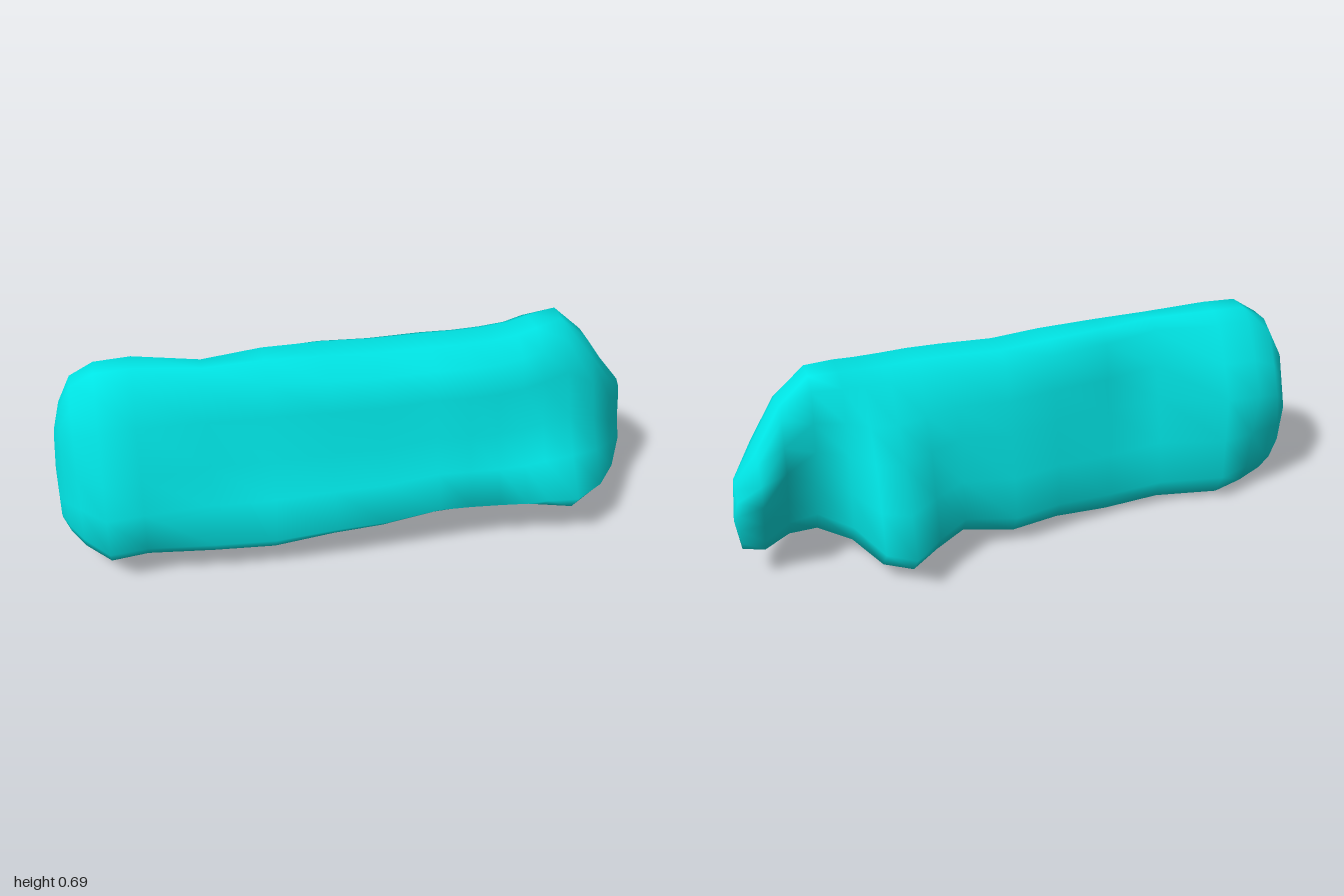
import * as THREE from 'three';

// Stations along x: x, bottom y, top y, front z at top, front z at widest,
// back z at top, back z at middle, back z near the bottom
const stations = [
  -0.99, 0.12, 0.43, 0.08, 0.15, 0.0, -0.04, -0.02,
  -0.965, 0.08, 0.53, 0.15, 0.2, -0.02, -0.07, -0.04,
  -0.92, 0.045, 0.63, 0.18, 0.27, -0.01, -0.11, -0.06,
  -0.84, 0.01, 0.68, 0.2, 0.345, 0.0, -0.13, -0.08,
  -0.72, 0.01, 0.685, 0.2, 0.33, -0.01, -0.13, -0.13,
  -0.5, 0.01, 0.672, 0.19, 0.345, 0.04, -0.02, -0.09,
  -0.3, 0.0, 0.675, 0.2, 0.345, -0.02, -0.06, -0.1,
  -0.1, 0.025, 0.67, 0.21, 0.345, -0.05, -0.09, -0.14,
  0.07, 0.025, 0.66, 0.2, 0.33, -0.06, -0.12, -0.18,
  0.25, 0.06, 0.665, 0.2, 0.33, -0.06, -0.13, -0.18,
  0.36, 0.05, 0.665, 0.2, 0.32, -0.06, -0.18, -0.26,
  0.46, 0.045, 0.665, 0.19, 0.32, -0.07, -0.23, -0.355,
  0.55, 0.05, 0.67, 0.17, 0.335, -0.08, -0.22, -0.3,
  0.62, 0.06, 0.68, 0.15, 0.345, -0.1, -0.14, -0.12,
  0.72, 0.06, 0.69, 0.1, 0.355, -0.11, -0.1, 0.0,
  0.82, 0.085, 0.6, 0.09, 0.285, -0.11, -0.13, -0.04,
  0.91, 0.09, 0.47, 0.04, 0.15, -0.15, -0.19, -0.11,
  0.985, 0.13, 0.375, -0.05, 0.0, -0.12, -0.15, -0.13,
];

// One cross-section, from the underside up the front, over the top and down the back
function section(x, yb, yt, ft, fw, bt, bm, bl) {
  const mix = THREE.MathUtils.lerp;
  // The front is hollow above its flared foot, except for a swelling near one end
  const swell = Math.exp(-(((x + 0.78) / 0.2) ** 2));
  return [
    [0, mix(bl, fw, 0.54)], [0.07, mix(bl, fw, 0.83)], [0.18, fw],
    [0.36, mix(fw, ft, 0.38 - 0.32 * swell)],
    [0.55, mix(fw, ft, 0.65 - 0.53 * swell)],
    [0.77, mix(fw, ft, 0.83 - 0.18 * swell)], [0.93, ft],
    [1, mix(ft, bt, 0.35)], [1, mix(ft, bt, 0.75)], [0.95, bt],
    [0.77, mix(bt, bm, 0.55)], [0.6, bm], [0.36, mix(bm, bl, 0.55)],
    [0.14, bl], [0.02, mix(bl, fw, 0.1)], [0, mix(bl, fw, 0.28)],
  ].map(([h, z]) => [x, mix(yb, yt, h), z]);
}

export function createModel() {
  const group = new THREE.Group();
  const pos = [], idx = [];
  const rings = stations.length / 8, n = 16;

  for (let i = 0; i < rings; i++) {
    pos.push(...section(...stations.slice(i * 8, i * 8 + 8)).flat());
  }

  // Skin between neighbouring sections
  for (let i = 0; i < rings - 1; i++) {
    for (let j = 0; j < n; j++) {
      const k = (j + 1) % n;
      const a = i * n + j, b = a + n, c = i * n + k, d = c + n;
      idx.push(a, b, c, b, d, c);
    }
  }

  // Rounded end caps
  const left = rings * n, right = left + 1, last = (rings - 1) * n;
  pos.push(-1, 0.29, 0.04, 1, 0.23, -0.09);
  for (let j = 0; j < n; j++) {
    const k = (j + 1) % n;
    idx.push(left, j, k, right, last + k, last + j);
  }

  const geometry = new THREE.BufferGeometry();
  geometry.setAttribute('position', new THREE.Float32BufferAttribute(pos, 3));
  geometry.setIndex(idx);
  geometry.computeVertexNormals();

  const body = new THREE.Mesh(geometry, new THREE.MeshStandardMaterial({ color: 0x00e5e5 }));
  body.name = 'lumpyBody';
  group.add(body);
  return group;
}
